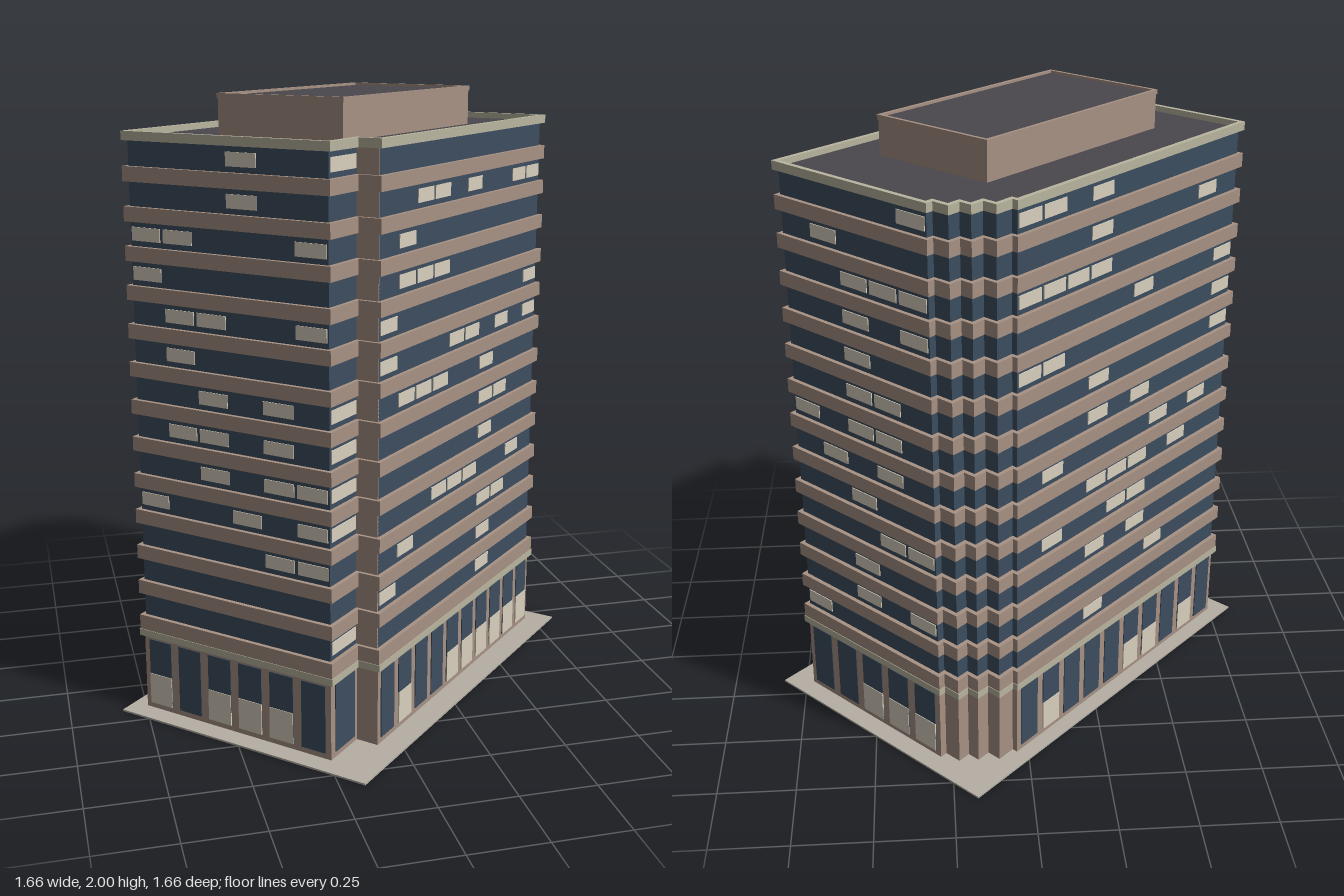
import * as THREE from 'three';

const paint = (color) => new THREE.MeshStandardMaterial({ color });
const BROWN = paint(0xa89284), GLASS = paint(0x3c4d60), LIT = paint(0xd9d1bf);
const TRIM = paint(0xb9b5a0), ROOF = paint(0x4a484d), PAVING = paint(0xb5afa5);

// Footprint in plan (u, v): notch at the front, stepped corner at the back
const PLAN = [
  [-0.64, 0.30], [-0.484, 0.30], [-0.484, 0.375], [0.643, 0.375],
  [0.643, -0.237], [0.618, -0.237], [0.618, -0.296], [0.573, -0.296],
  [0.573, -0.339], [0.525, -0.339], [0.525, -0.388], [0.46, -0.388],
  [0.46, -0.407], [-0.64, -0.407],
];
const FLOORS = 13, PITCH = 0.1212;

// Outward normal of the plan edge a-b
function normal(a, b) {
  const l = Math.hypot(b[0] - a[0], b[1] - a[1]);
  return [-(b[1] - a[1]) / l, (b[0] - a[0]) / l];
}

// Grow a right-angled plan outward by d
function grow(plan, d) {
  const n = plan.length;
  return plan.map((p, i) => {
    const n1 = normal(plan[(i + n - 1) % n], p), n2 = normal(p, plan[(i + 1) % n]);
    return [p[0] + d * (n1[0] + n2[0]), p[1] + d * (n1[1] + n2[1])];
  });
}

const rect = (u0, u1, v0, v1) => [[u0, v1], [u1, v1], [u1, v0], [u0, v0]];
const toVec = (plan) => plan.map(([u, v]) => new THREE.Vector2(u, -v));

// Upright slab of a plan between two heights, with an optional opening
function slab(parent, name, plan, y0, y1, material, hole) {
  const shape = new THREE.Shape(toVec(plan));
  if (hole) shape.holes.push(new THREE.Path(toVec(hole)));
  const geo = new THREE.ExtrudeGeometry(shape, { depth: y1 - y0, bevelEnabled: false });
  geo.rotateX(-Math.PI / 2);
  const mesh = new THREE.Mesh(geo, material);
  mesh.name = name;
  mesh.position.y = y0;
  parent.add(mesh);
}

// Thin panel on the wall a-b, centred at fraction t along it
function panel(parent, name, a, b, t, width, y0, y1, out, material) {
  const n = normal(a, b);
  const mesh = new THREE.Mesh(new THREE.BoxGeometry(width, y1 - y0, 0.006), material);
  mesh.name = name;
  mesh.position.set(a[0] + (b[0] - a[0]) * t + n[0] * out, (y0 + y1) / 2,
    a[1] + (b[1] - a[1]) * t + n[1] * out);
  mesh.rotation.y = Math.atan2(n[0], n[1]);
  parent.add(mesh);
}

// Walls with windows: plan corner, bays, lit shop bays, lit bays per floor (bottom up)
const FACES = [
  { name: 'sideFace', from: 13, bays: 6, shop: [0, 2, 3, 4],
    lit: ['', '', '45', '035', '245', '124', '24', '1', '125', '0', '015', '3', '3'] },
  { name: 'notchFace', from: 0, bays: 1, shop: [],
    lit: ['0', '', '', '0', '0', '0', '0', '', '', '', '', '', '0'] },
  { name: 'frontFace', from: 2, bays: 10, shop: [1, 4, 5, 6, 7, 8, 9],
    lit: ['6', '06', '167', '3458', '6', '67', '1236', '04579', '09', '123', '1', '23589', ''] },
  { name: 'endFace', from: 3, bays: 5, shop: [2, 3, 4],
    lit: ['0', '24', '2', '34', '2', '13', '023', '23', '2', '24', '234', '1', '4'] },
  { name: 'backFace', from: 12, bays: 10, shop: [1, 5, 6, 8],
    lit: ['3', '6', '35', '145', '3457', '168', '35', '39', '019', '59', '0123', '38', '013'] },
];

export function createModel() {
  const model = new THREE.Group();
  model.name = 'officeTower';
  const tower = new THREE.Group();
  tower.name = 'tower';
  tower.rotation.y = Math.PI / 4;
  model.add(tower);

  // Paving and ground floor
  slab(tower, 'paving', rect(-0.71, 0.71, -0.463, 0.463), 0, 0.006, PAVING);
  slab(tower, 'groundFloorWall', grow(PLAN, 0.004), 0.006, 0.262, BROWN);

  // Glazed shaft with a spandrel band below each floor
  const outer = grow(PLAN, 0.014);
  slab(tower, 'glassShaft', PLAN, 0.262, 1.865, GLASS);
  slab(tower, 'canopyTrim', grow(PLAN, 0.016), 0.262, 0.285, TRIM);
  slab(tower, 'canopyBand', outer, 0.285, 0.334, BROWN);
  for (let i = 1; i < FLOORS; i++) {
    const top = 0.334 + i * PITCH;
    slab(tower, 'spandrelBand', outer, top - 0.046, top, BROWN);
  }

  // Solid pier on the short wall of the notch
  panel(tower, 'notchPier', PLAN[1], PLAN[2], 0.5, 0.075, 0.262, 1.865, 0, BROWN);

  // Windows
  for (const face of FACES) {
    const group = new THREE.Group();
    group.name = face.name;
    tower.add(group);
    const a = PLAN[face.from], b = PLAN[(face.from + 1) % PLAN.length];
    const bay = Math.hypot(b[0] - a[0], b[1] - a[1]) / face.bays;
    for (let i = 0; i < face.bays; i++) {
      const t = (i + 0.5) / face.bays;
      panel(group, 'shopWindow', a, b, t, bay * 0.74, 0.025, 0.25, 0.004, GLASS);
      if (face.shop.includes(i))
        panel(group, 'litShopWindow', a, b, t, bay * 0.74, 0.025, 0.13, 0.006, LIT);
    }
    face.lit.forEach((row, floor) => {
      const y = 0.372 + floor * PITCH;
      for (const c of row)
        panel(group, 'litWindow', a, b, (Number(c) + 0.5) / face.bays, bay * 0.9,
          y - 0.021, y + 0.021, 0, LIT);
    });
  }

  // Roof, parapet and plant room
  slab(tower, 'roof', PLAN, 1.865, 1.874, ROOF);
  slab(tower, 'parapet', outer, 1.865, 1.893, TRIM, grow(PLAN, -0.002));
  const plant = rect(-0.452, 0.36, -0.206, 0.235);
  slab(tower, 'plantRoom', plant, 1.87, 1.985, BROWN);
  slab(tower, 'plantRoomRoof', grow(plant, -0.008), 1.985, 1.992, ROOF);
  slab(tower, 'plantRoomRim', grow(plant, 0.003), 1.985, 2, BROWN, grow(plant, -0.008));
  return model;
}
